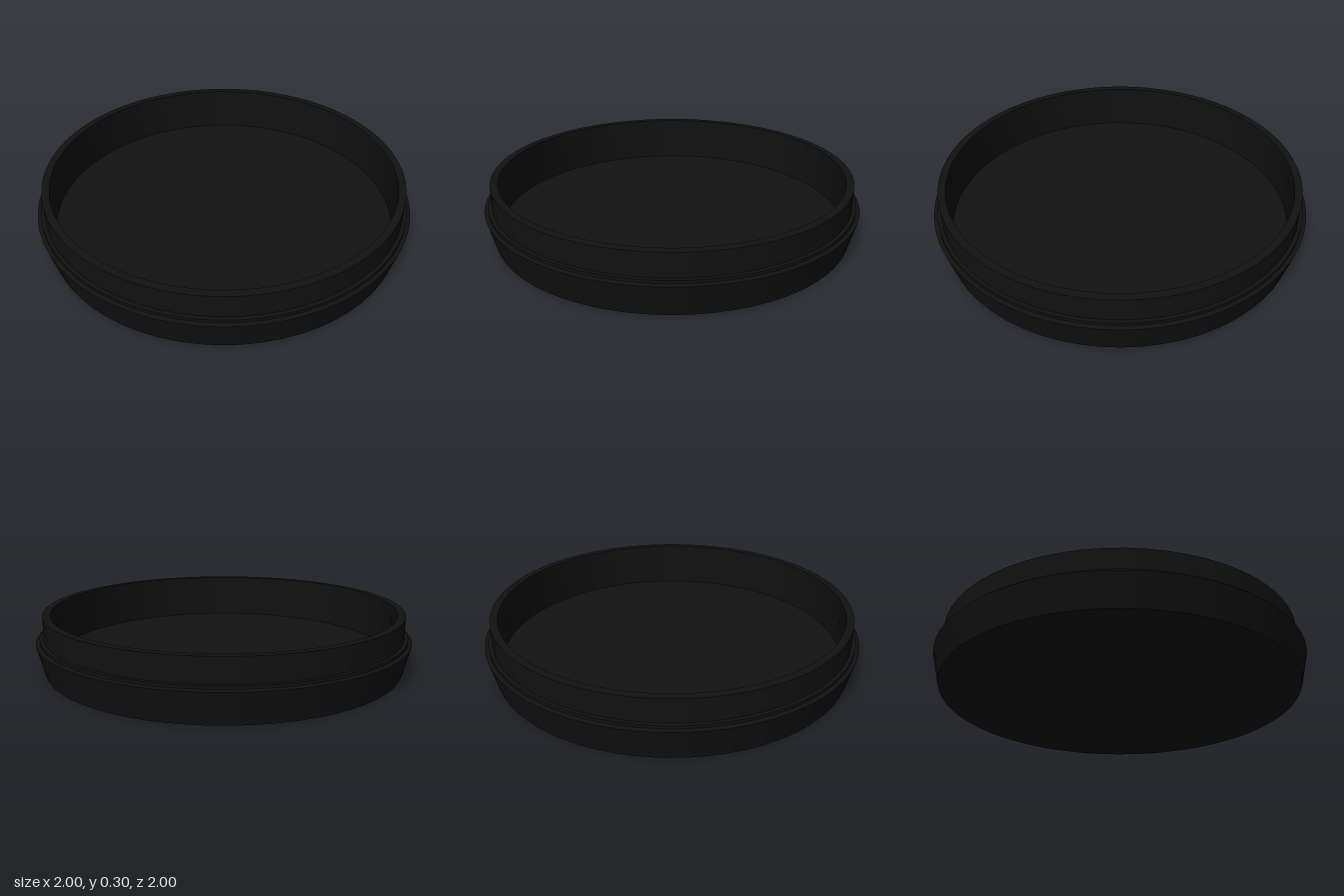
import * as THREE from 'three';
import { toCreasedNormals } from 'three/addons/utils/BufferGeometryUtils.js';

const SEGMENTS = 64;

// Revolve a profile of [radius, height] pairs, keeping hard edges crisp
function turned(name, profile, material) {
  const points = profile.map(([r, y]) => new THREE.Vector2(r, y));
  const geometry = toCreasedNormals(new THREE.LatheGeometry(points, SEGMENTS), 0.5);
  const mesh = new THREE.Mesh(geometry, material);
  mesh.name = name;
  return mesh;
}

export function createModel() {
  const group = new THREE.Group();
  group.name = 'roundDish';
  const black = new THREE.MeshStandardMaterial({ color: 0x111111 });

  // Hollow cup: underside, flared skirt, stepped shoulder, upright rim, inner wall and floor
  group.add(turned('dish', [
    [0, 0],
    [0.96, 0],
    [1.0, 0.16],
    [0.98, 0.165],
    [0.98, 0.18],
    [0.96, 0.18],
    [0.96, 0.3],
    [0.92, 0.3],
    [0.92, 0.05],
    [0, 0.05],
  ], black));

  return group;
}
